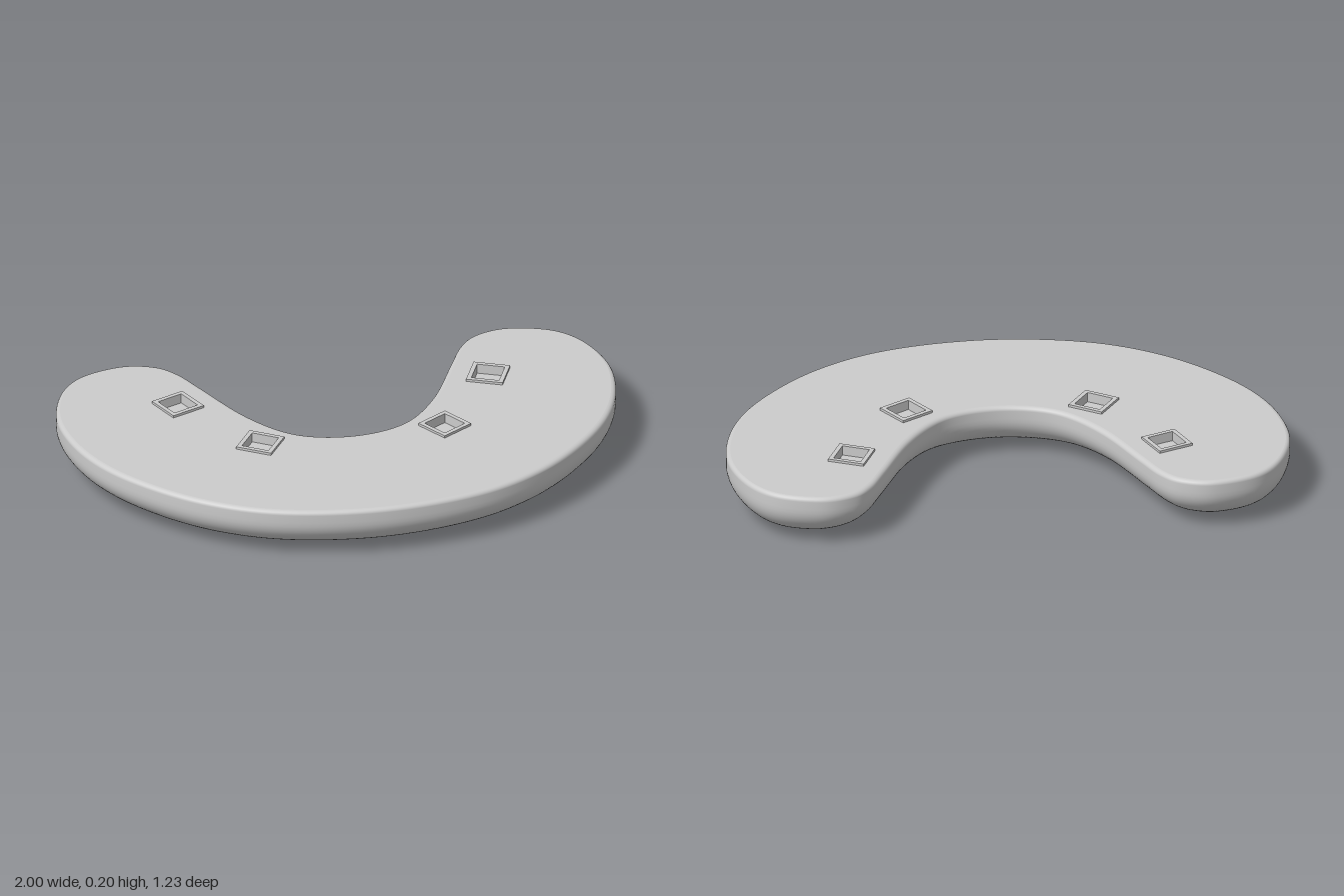
import * as THREE from 'three';

const TOP = 0.195;
const material = new THREE.MeshStandardMaterial({ color: 0xcccccc, roughness: 0.7, side: THREE.DoubleSide });

// Half outline from front middle to inner middle: x, z, then the matching point on the spine.
const HALF = [
  [0, 0.61, 0, 0.33], [0.353, 0.56, 0.24, 0.29], [0.62, 0.425, 0.45, 0.19],
  [0.834, 0.214, 0.6, 0.03], [0.955, 0, 0.69, -0.15], [1, -0.24, 0.735, -0.3],
  [0.957, -0.44, 0.74, -0.34], [0.86, -0.565, 0.74, -0.34], [0.7, -0.617, 0.74, -0.34],
  [0.58, -0.59, 0.74, -0.34], [0.51, -0.52, 0.735, -0.33], [0.45, -0.4, 0.71, -0.24],
  [0.35, -0.19, 0.58, 0.04], [0.245, -0.045, 0.4, 0.22], [0.14, 0.025, 0.2, 0.3],
  [0, 0.05, 0, 0.33],
];
const SEGMENTS = 240;

function sampleLoop(ix) {
  const loop = [...HALF.map((p) => [p[ix], p[ix + 1]]),
    ...HALF.slice(1, -1).reverse().map((p) => [-p[ix], p[ix + 1]])];
  const curve = new THREE.CatmullRomCurve3(loop.map(([x, z]) => new THREE.Vector3(x, 0, z)), true, 'catmullrom', 0.5);
  return Array.from({ length: SEGMENTS }, (_, i) => curve.getPoint(i / SEGMENTS));
}

// Cross-section from the rounded top lip to the underside: [fraction out from spine, height].
function sectionProfile() {
  const rows = [];
  for (let i = 0; i <= 5; i++) {
    const a = (i / 5) * Math.PI / 2;
    rows.push([0.94 + 0.06 * Math.sin(a), TOP - 0.016 * (1 - Math.cos(a))]);
  }
  const n = 2.2;
  for (let i = 0; i <= 20; i++) {
    const f = Math.cos((i / 20) * Math.PI / 2);
    rows.push([i === 20 ? 0 : f, 0.15 * (1 - Math.pow(Math.max(0, 1 - Math.pow(f, n)), 1 / n))]);
  }
  return rows;
}

function shellGeometry(outline, spine) {
  const rows = sectionProfile(), pos = [], index = [];
  for (const [f, y] of rows) {
    outline.forEach((p, i) => {
      const q = spine[i].clone().lerp(p, f);
      pos.push(q.x, y, q.z);
    });
  }
  for (let k = 0; k < rows.length - 1; k++) {
    for (let i = 0; i < SEGMENTS; i++) {
      const j = (i + 1) % SEGMENTS;
      const a = k * SEGMENTS + i, b = k * SEGMENTS + j;
      const c = a + SEGMENTS, d = b + SEGMENTS;
      index.push(a, c, b, b, c, d);
    }
  }
  const geo = new THREE.BufferGeometry();
  geo.setAttribute('position', new THREE.Float32BufferAttribute(pos, 3));
  geo.setIndex(index);
  geo.computeVertexNormals();
  return geo;
}

// Corners of a turned square in shape space (shape y is -z).
function square(size, x = 0, z = 0, angle = 0) {
  return [45, 135, 225, 315].map((deg) => {
    const a = THREE.MathUtils.degToRad(deg) + angle, r = size / Math.SQRT2;
    return new THREE.Vector2(x + r * Math.cos(a), -z + r * Math.sin(a));
  });
}

export function createModel() {
  const group = new THREE.Group();
  const add = (name, geo, parent = group) => {
    const mesh = new THREE.Mesh(geo, material);
    mesh.name = name;
    parent.add(mesh);
    return mesh;
  };

  // Sockets: x, z and turn, mirrored left to right
  const sockets = [];
  for (const s of [1, -1]) {
    sockets.push({ x: s * 0.56, z: -0.285, angle: s * THREE.MathUtils.degToRad(-23.5) });
    sockets.push({ x: s * 0.333, z: 0.052, angle: s * THREE.MathUtils.degToRad(33) });
  }

  // Crescent shell: side wall and rounded underside
  const outline = sampleLoop(0), spine = sampleLoop(2);
  add('crescentShell', shellGeometry(outline, spine));

  // Flat top with socket openings
  const top = new THREE.Shape(outline.map((p, i) => {
    const q = spine[i].clone().lerp(p, 0.94);
    return new THREE.Vector2(q.x, -q.z);
  }));
  for (const { x, z, angle } of sockets) top.holes.push(new THREE.Path(square(0.11, x, z, angle)));
  add('topSurface', new THREE.ShapeGeometry(top).rotateX(-Math.PI / 2)).position.y = TOP;

  // Square raised rims with recessed floors
  const depth = 0.03, rimTop = 0.204;
  const rim = new THREE.Shape(square(0.132));
  rim.holes.push(new THREE.Path(square(0.1)));
  const rimGeo = new THREE.ExtrudeGeometry(rim, { depth: rimTop - TOP + depth, bevelEnabled: false }).rotateX(-Math.PI / 2);
  const floorGeo = new THREE.BoxGeometry(0.11, 0.006, 0.11);
  for (const { x, z, angle } of sockets) {
    const socket = new THREE.Group();
    socket.name = 'socket';
    socket.position.set(x, TOP - depth, z);
    socket.rotation.y = angle;
    add('socketRim', rimGeo, socket);
    add('socketFloor', floorGeo, socket);
    group.add(socket);
  }
  return group;
}
